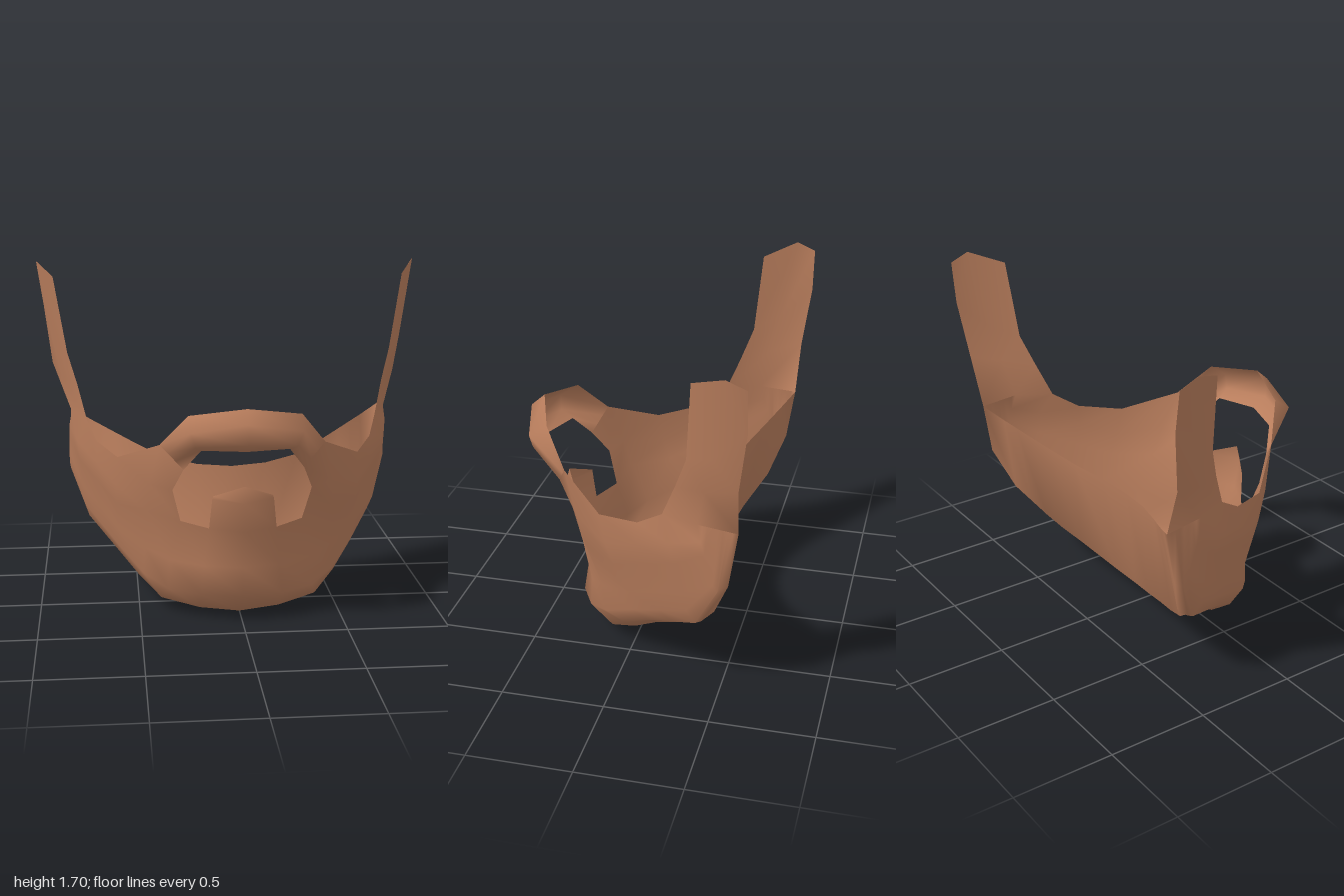
import * as THREE from 'three';

const hair = new THREE.MeshStandardMaterial({ color: 0xb87d5c, side: THREE.DoubleSide });
hair.name = 'hair';

const mix = (a, b, t) => a.map((v, k) => v + (b[k] - v) * t);
const shift = ([x, y, z], dy, dz) => [x, y + dy, z + dz];

// Builds one jaw cross-section from six guide points: it runs from the outer
// rim down the face, under the jaw and up the neck side to the back rim.
function section(rim, cheek, chin, keel, neck, backRim) {
  const inward = 1 - keel[0];
  const lip = mix(cheek, chin, 0.3);
  const dent = shift(mix(cheek, chin, 0.72), 0, -0.05 * inward);
  const keelBack = shift(keel, 0.02 * keel[0], 0.03 - 0.24 * inward);
  return [rim, cheek, lip, dent, chin, keel, keelBack, neck, backRim];
}

// Jaw cross-sections, from the middle of the chin out to the ear.
const tuft = section([0, .72, .45], [0, .64, .47], [0, .14, .36], [0, .002, .18], [0, .11, -.2], [0, .65, -.25]);
const tuftSide = section([.145, .655, .37], [.15, .64, .37], [.2, .14, .32], [.2, .02, .16], [.15, .13, -.22], [.18, .66, -.27]);
const mouthSide = section([.29, .8, .41], [.34, .68, .33], [.36, .15, .24], [.39, .065, .12], [.37, .22, -.3], [.36, .69, -.33]);
const cheekFront = section([.4, .91, .35], [.45, .7, .28], [.48, .2, .13], [.5, .16, .03], [.5, .25, -.33], [.49, .745, -.4]);
const cheekMiddle = section([.6, .8, .12], [.61, .65, .09], [.6, .3, -.04], [.61, .26, -.12], [.62, .29, -.36], [.6, .795, -.46]);
const cheekBack = section([.75, .92, -.22], [.8, .8, -.26], [.77, .44, -.34], [.75, .365, -.38], [.75, .44, -.47], [.73, .855, -.53]);
const ear = section([.83, .93, -.4], [.845, .85, -.42], [.85, .64, -.48], [.845, .6, -.5], [.845, .64, -.55], [.84, .91, -.59]);

mouthSide[2] = [.3, .51, .28]; // lower corner of the mouth opening
const cheekBetween = cheekMiddle.map((p, j) => mix(p, cheekBack[j], 0.5));
cheekBetween[0] = [.7, .835, -.09];
// The last section closes the jaw below the sideburn.
const earEnd = ear.map((_, j) => mix(ear[0], ear[8], j / 8));
const jaw = [tuft, tuftSide, mouthSide, cheekFront, cheekMiddle, cheekBetween, cheekBack, ear, earEnd];

// Moustache cross-sections from the centre to the cheek, upper to lower edge.
const moustache = [
  [[0, 1.122, .57], [0, 1.06, .64], [0, .96, .63], [0, .915, .555]],
  [[.27, 1.075, .475], [.265, 1.01, .57], [.24, .94, .56], [.21, .91, .49]],
  [0, 1, 2, 3].map((j) => mix(cheekFront[0], mouthSide[0], j / 3)),
];

// Sideburn columns from front edge to back edge, top to bottom.
const sideburn = [
  [[.91, 1.64, -.38], [.845, 1.25, -.35], [.795, 1.09, -.29], cheekBack[0]],
  [[1, 1.705, -.545], [.925, 1.3, -.48], [.885, 1.12, -.44], ear[0]],
  [[1, 1.665, -.64], [.97, 1.46, -.64], [.93, 1.16, -.6], ear[8]],
];

const mirrorColumns = (cols) => cols.map((c) => c.map(([x, y, z]) => [-x, y, z])).reverse();
const bothSides = (half) => [...mirrorColumns(half.slice(1)), ...half];

// Skins a grid of columns; skip(i, j) leaves a quad open.
function skin(cols, skip = () => false) {
  const rows = cols[0].length;
  const index = [];
  for (let i = 0; i < cols.length - 1; i++) {
    for (let j = 0; j < rows - 1; j++) {
      if (skip(i, j)) continue;
      const a = i * rows + j, d = a + rows;
      index.push(a, a + 1, d + 1, a, d + 1, d);
    }
  }
  const geometry = new THREE.BufferGeometry();
  geometry.setAttribute('position', new THREE.Float32BufferAttribute(cols.flat(2), 3));
  geometry.setIndex(index);
  geometry.computeVertexNormals();
  return geometry;
}

// Shares normals where parts meet, so the shading runs across the seams.
function blendNormals(geometries) {
  const sums = new Map();
  const visit = (fn) => geometries.forEach((g) => {
    const p = g.attributes.position;
    for (let i = 0; i < p.count; i++) {
      const key = [p.getX(i), p.getY(i), p.getZ(i)].map((v) => Math.round(v * 1000)).join();
      fn(key, g.attributes.normal, i);
    }
  });
  visit((key, n, i) => {
    if (!sums.has(key)) sums.set(key, new THREE.Vector3());
    sums.get(key).add(new THREE.Vector3().fromBufferAttribute(n, i));
  });
  sums.forEach((v) => v.normalize());
  visit((key, n, i) => n.setXYZ(i, ...sums.get(key).toArray()));
}

export function createModel() {
  const group = new THREE.Group();
  group.name = 'beard';

  // The mouth opening lies between the chin tuft and the cheeks.
  const centre = jaw.length - 1;
  const mouth = (i, j) => j < 2 && (i === centre + 1 || i === centre - 2);

  const parts = {
    jawBeard: skin(bothSides(jaw), mouth),
    moustache: skin(bothSides(moustache)),
    leftSideburn: skin(sideburn),
    rightSideburn: skin(mirrorColumns(sideburn)),
  };
  blendNormals(Object.values(parts));

  for (const [name, geometry] of Object.entries(parts)) {
    const mesh = new THREE.Mesh(geometry, hair);
    mesh.name = name;
    group.add(mesh);
  }
  return group;
}
